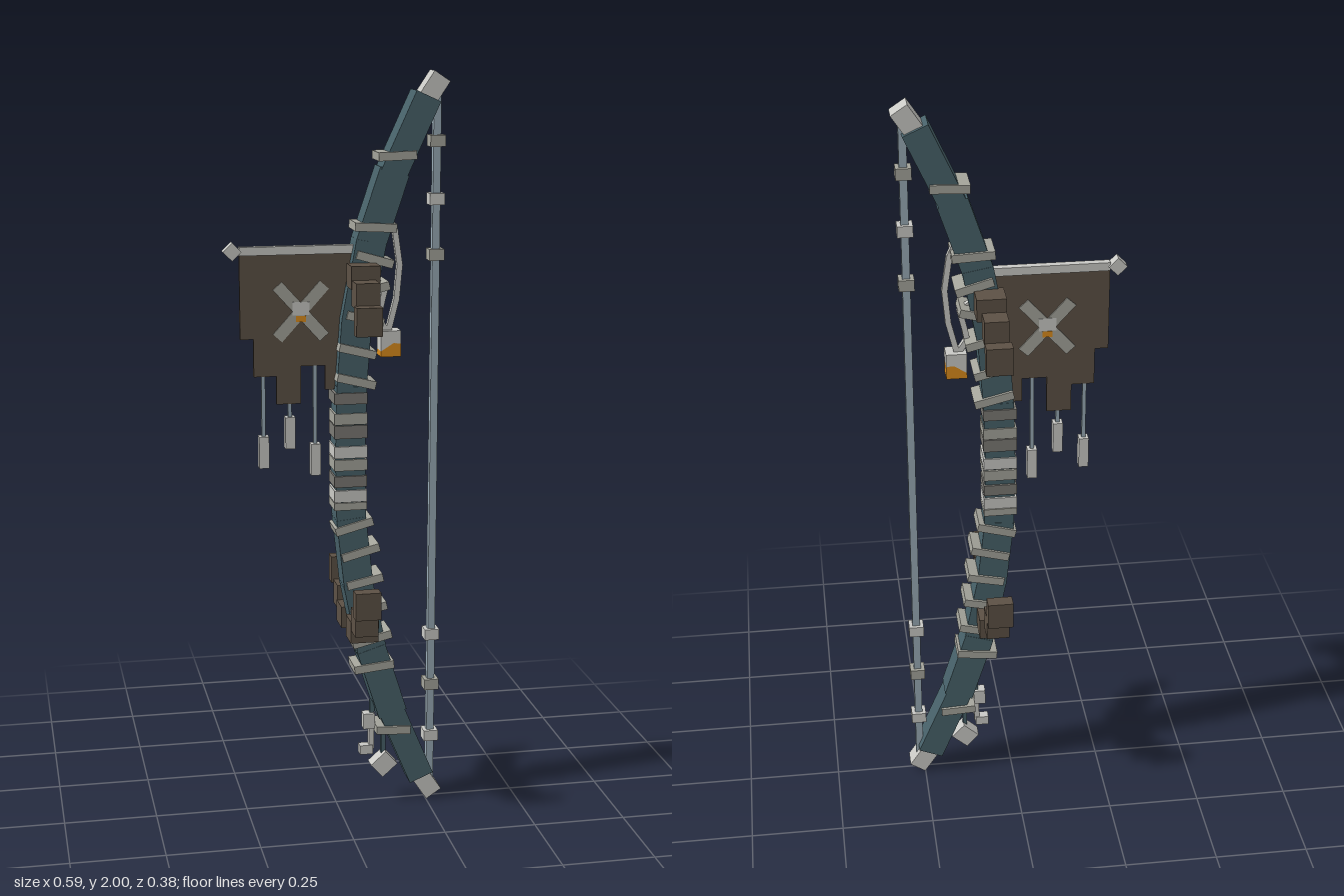
import * as THREE from 'three';

const mat = (name, color) => {
  const m = new THREE.MeshStandardMaterial({ color });
  m.name = name;
  return m;
};

export function createModel() {
  const model = new THREE.Group();
  model.name = 'bow';
  const teal = mat('teal wood', 0x48626a);
  const bone = mat('pale bone', 0xcacac6);
  const wrapGrey = mat('weathered wrap', 0xa5a59c);
  const taupe = mat('taupe wrap', 0x7c7a75);
  const brown = mat('brown hide', 0x5d5145);
  const cord = mat('blue grey cord', 0x9aacb6);
  const orange = mat('amber', 0xdd8d1c);

  const box = (name, m, x, y, z, w, h, d, deg = 0, parent = model) => {
    const mesh = new THREE.Mesh(new THREE.BoxGeometry(w, h, d), m);
    mesh.name = name;
    mesh.position.set(x, y, z);
    mesh.rotation.z = THREE.MathUtils.degToRad(deg);
    parent.add(mesh);
    return mesh;
  };
  // Box laid between two points in the plane of the bow
  const bar = (name, m, a, b, w, d, extra = 0, z = 0) => {
    const dx = b[0] - a[0], dy = b[1] - a[1];
    return box(name, m, (a[0] + b[0]) / 2, (a[1] + b[1]) / 2, z, w, Math.hypot(dx, dy) + extra, d,
      -Math.atan2(dx, dy) * 180 / Math.PI);
  };

  // Curved stave from overlapping straight blocks
  const path = [[0.232, 0.075], [0.15, 0.27], [0.093, 0.45], [0.055, 0.64], [0.035, 0.82], [0.031, 1.0],
    [0.035, 1.18], [0.048, 1.36], [0.085, 1.56], [0.145, 1.74], [0.232, 1.93]];
  for (let i = 0; i < path.length - 1; i++) {
    const nearEnd = i === 0 || i === path.length - 2;
    bar('staveBlock', teal, path[i], path[i + 1], nearEnd ? 0.07 : 0.08, 0.072 + (i % 2) * 0.002, 0.012);
  }
  // Tips
  bar('upperTip', bone, [0.232, 1.925], [0.272, 1.985], 0.05, 0.054);
  bar('lowerTip', bone, [0.232, 0.075], [0.272, 0.015], 0.05, 0.054);

  // Bowstring with beads
  box('bowstring', cord, 0.264, 1.0, 0, 0.02, 1.93, 0.02);
  [1.82, 1.67, 1.525, 0.48, 0.335, 0.185].forEach((y, i) =>
    box('stringBead', i % 2 ? bone : wrapGrey, 0.264, y, 0, 0.04, 0.03, 0.04));

  // Tilted bindings: x, y, length, angle
  [[0.153, 1.785, 0.1, 2], [0.097, 1.603, 0.11, -3], [0.095, 1.52, 0.1, -16], [0.085, 1.44, 0.1, 14],
    [0.07, 1.365, 0.1, -14], [0.05, 1.28, 0.1, -14], [0.047, 1.2, 0.105, -14], [0.042, 0.805, 0.105, 15],
    [0.06, 0.732, 0.105, 15], [0.072, 0.65, 0.1, 12], [0.083, 0.57, 0.1, 12],
    [0.092, 0.485, 0.11, 14], [0.098, 0.405, 0.11, 6], [0.153, 0.218, 0.095, -3],
  ].forEach(([x, y, w, a]) => box('binding', wrapGrey, x, y, 0, w, 0.022, 0.088, a));

  // Grip wraps
  [[1.155, 0.03, taupe], [1.1, 0.03, wrapGrey], [1.065, 0.035, taupe], [1.01, 0.032, bone],
    [0.975, 0.03, wrapGrey], [0.93, 0.03, taupe], [0.89, 0.032, bone], [0.862, 0.02, wrapGrey],
  ].forEach(([y, h, m]) => box('gripWrap', m, 0.032, y, 0, 0.088, h, 0.084));

  // Stepped hide prongs on both sides, mirrored top and bottom
  for (const up of [1, -1]) for (const side of [1, -1]) {
    const y = (v) => (up > 0 ? v : 2.01 - v);
    box('prongRoot', brown, 0.059, y(1.482), side * 0.065, 0.076, 0.06, 0.07);
    box('prongMiddle', brown, 0.053, y(1.443), side * 0.126, 0.062, 0.066, 0.06);
    box('prongEnd', brown, 0.05, y(1.382), side * 0.173, 0.068, 0.074, 0.037);
  }

  // Banner with a ragged lower edge
  const edge = [[-0.255, 1.54], [-0.255, 1.315], [-0.22, 1.315], [-0.22, 1.215], [-0.16, 1.215], [-0.16, 1.14],
    [-0.095, 1.14], [-0.095, 1.24], [-0.03, 1.24], [-0.03, 1.175], [0.01, 1.175], [0.04, 1.54]];
  const cloth = new THREE.ExtrudeGeometry(new THREE.Shape(edge.map((p) => new THREE.Vector2(...p))),
    { depth: 0.012, bevelEnabled: false });
  cloth.translate(0, 0, -0.006);
  const banner = new THREE.Mesh(cloth, brown);
  banner.name = 'banner';
  model.add(banner);
  box('bannerPole', bone, -0.105, 1.545, 0, 0.3, 0.022, 0.02);
  box('poleFinial', bone, -0.274, 1.545, 0, 0.034, 0.034, 0.03, 45);

  // Crossed emblem on both faces
  for (const s of [1, -1]) {
    box('crossBar', wrapGrey, -0.095, 1.385, s * 0.0075, 0.185, 0.032, 0.004, 48);
    box('crossBar', wrapGrey, -0.095, 1.385, s * 0.008, 0.185, 0.032, 0.004, -48);
    box('emblemCentre', bone, -0.095, 1.393, s * 0.009, 0.045, 0.035, 0.004);
    box('emblemGem', orange, -0.095, 1.366, s * 0.0095, 0.026, 0.016, 0.004);
  }

  // Hanging weights: x, cord top, weight top, weight bottom
  [[-0.195, 1.22, 1.055, 0.97], [-0.125, 1.15, 1.105, 1.02], [-0.057, 1.25, 1.03, 0.945]].forEach(([x, t, a, b]) => {
    box('tasselCord', cord, x, (t + a) / 2, 0, 0.01, t - a, 0.01);
    box('tasselWeight', bone, x, (a + b) / 2, 0, 0.026, a - b, 0.028);
  });

  // Looped cord carrying the amber charm
  const loops = [
    [[0.125, 1.66], [0.155, 1.59], [0.168, 1.5], [0.16, 1.41], [0.14, 1.33]],
    [[0.105, 1.46], [0.13, 1.44], [0.118, 1.39], [0.112, 1.36], [0.135, 1.325]],
  ];
  loops.forEach((pts) => {
    for (let i = 0; i < pts.length - 1; i++) bar('charmCord', bone, pts[i], pts[i + 1], 0.015, 0.016, 0.006);
  });
  box('charmCap', bone, 0.142, 1.312, 0, 0.054, 0.034, 0.05);
  const wedge = (name, m, pts) => {
    const g = new THREE.ExtrudeGeometry(new THREE.Shape(pts.map((p) => new THREE.Vector2(...p))),
      { depth: 0.05, bevelEnabled: false });
    g.translate(0, 0, -0.025);
    const mesh = new THREE.Mesh(g, m);
    mesh.name = name;
    model.add(mesh);
  };
  wedge('charmAmber', orange, [[0.115, 1.26], [0.169, 1.26], [0.169, 1.296], [0.148, 1.296], [0.115, 1.275]]);
  wedge('charmFacet', bone, [[0.115, 1.275], [0.148, 1.296], [0.115, 1.296]]);

  // Small charms below the lower limb
  box('lowerCharmCord', teal, 0.1, 0.275, 0, 0.012, 0.04, 0.012);
  box('lowerCharmTop', bone, 0.09, 0.238, 0, 0.032, 0.044, 0.03);
  box('lowerCharmStem', bone, 0.098, 0.19, 0, 0.014, 0.07, 0.018);
  box('lowerCharmFoot', bone, 0.083, 0.154, 0, 0.036, 0.026, 0.026);
  box('diamondCord', teal, 0.132, 0.175, 0, 0.012, 0.08, 0.012);
  box('diamondCharm', bone, 0.132, 0.11, 0, 0.056, 0.05, 0.04, 42);

  return model;
}
